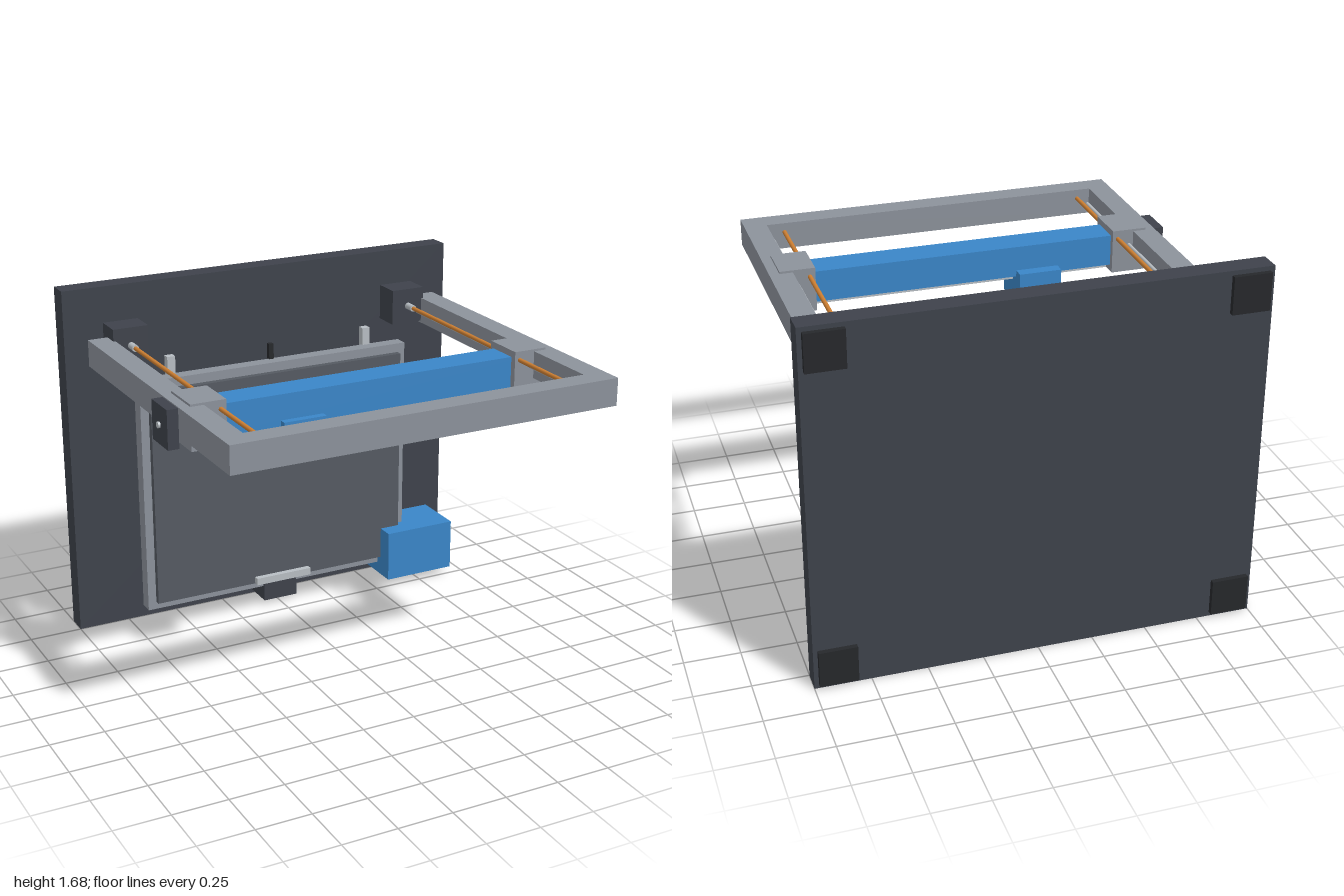
import * as THREE from 'three';

const mat = (color) => new THREE.MeshStandardMaterial({ color });

export function createModel() {
  const root = new THREE.Group();
  const dark = mat(0x3e424b), black = mat(0x26282b), grey = mat(0x8c929b), light = mat(0xb8bec3);
  const blue = mat(0x3a86c8), copper = mat(0xcd7f32), plate = mat(0x555a62), teal = mat(0x1f6b6b);

  // box given by its limits on each axis
  function box(name, m, [x0, x1], [y0, y1], [z0, z1]) {
    const mesh = new THREE.Mesh(new THREE.BoxGeometry(x1 - x0, y1 - y0, z1 - z0), m);
    mesh.position.set((x0 + x1) / 2, (y0 + y1) / 2, (z0 + z1) / 2);
    mesh.name = name;
    root.add(mesh);
  }
  // cylinder centred at a point, lying along the given axis
  function rod(name, m, r, len, axis, x, y, z) {
    const g = new THREE.CylinderGeometry(r, r, len, 24);
    if (axis === 'x') g.rotateZ(Math.PI / 2);
    if (axis === 'z') g.rotateX(Math.PI / 2);
    const mesh = new THREE.Mesh(g, m);
    mesh.position.set(x, y, z);
    mesh.name = name;
    root.add(mesh);
  }
  const span = (c, h) => [c - h, c + h];

  // upright base slab with four feet behind
  box('baseSlab', dark, [-1, 1], [0.005, 1.69], [-0.85, -0.75]);
  for (const s of [-1, 1])
    for (const y of [0.11, 1.585]) box('foot', black, span(s * 0.895, 0.085), span(y, 0.085), [-0.873, -0.85]);

  // U-shaped gantry frame
  const u = new THREE.Shape([
    [-0.905, -0.695], [-0.8, -0.695], [-0.8, 0.765], [0.8, 0.765],
    [0.8, -0.695], [0.905, -0.695], [0.905, 0.87], [-0.905, 0.87],
  ].map(([x, z]) => new THREE.Vector2(x, z)));
  const frame = new THREE.Mesh(new THREE.ExtrudeGeometry(u, { depth: 0.125, bevelEnabled: false }).rotateX(Math.PI / 2), grey);
  frame.position.y = 1.465;
  frame.name = 'gantryFrame';
  root.add(frame);

  // lifting motors, couplers, screws, guide rods and beam brackets
  for (const s of [-1, 1]) {
    box('liftMotor', dark, span(s * 0.725, 0.085), [1.35, 1.52], [-0.75, -0.62]);
    rod('coupler', light, 0.016, 0.06, 'z', s * 0.725, 1.435, -0.595);
    rod('leadScrew', copper, 0.01, 1.31, 'z', s * 0.725, 1.435, 0.075);
    rod('guideRod', light, 0.009, 1.36, 'z', s * 0.78, 1.4, 0.05);
    box('beamBracket', grey, span(s * 0.78, 0.08), [1.27, 1.475], [0.185, 0.385]);
  }

  // cross beam with rail and belt beneath
  box('crossBeam', blue, [-0.863, 0.863], [1.3, 1.445], [0.21, 0.355]);
  box('beamRail', light, [-0.7, 0.7], [1.27, 1.3], [0.255, 0.31]);
  box('beamBelt', black, [-0.745, 0.745], [1.25, 1.266], [0.328, 0.35]);
  box('beamMotor', dark, [-0.955, -0.905], [1.285, 1.46], [0.2, 0.365]);
  rod('beamMotorShaft', light, 0.014, 0.02, 'x', -0.955, 1.372, 0.28);

  // tool head
  const hx = -0.34;
  box('toolHead', blue, span(hx, 0.1), [1.163, 1.33], [0.157, 0.388]);
  box('feedMotor', dark, span(hx, 0.065), [1.113, 1.245], [0.087, 0.195]);
  rod('fan', black, 0.034, 0.055, 'y', hx, 1.138, 0.277);
  rod('heaterBarrel', copper, 0.015, 0.105, 'z', hx, 1.18, 0.028);
  rod('nozzle', copper, 0.007, 0.037, 'z', hx, 1.18, -0.055);

  // bed, build plate and clip
  box('bed', grey, [-0.7, 0.7], [0.1, 1.255], [-0.672, -0.605]);
  box('buildPlate', plate, [-0.66, 0.66], [0.14, 1.212], [-0.603, -0.573]);
  box('plateClip', light, [-0.147, 0.145], [0.14, 0.175], [-0.573, -0.545]);

  // bed rails, carriages, belt and motor
  for (const s of [-1, 1]) {
    box('bedRail', light, span(s * 0.515, 0.02), [0.1, 1.34], [-0.698, -0.662]);
    box('bedCarriage', blue, span(s * 0.515, 0.07), [0.585, 0.772], [-0.696, -0.668]);
  }
  box('bedBelt', black, span(0, 0.012), [0.1, 1.33], [-0.685, -0.66]);
  box('bedMotor', dark, [-0.088, 0.088], [0.026, 0.145], [-0.75, -0.592]);
  rod('bedMotorShaft', light, 0.015, 0.022, 'y', 0, 0.017, -0.672);

  // control box with screen and knob underneath
  box('controlBox', blue, [0.56, 0.925], [0.045, 0.297], [-0.75, -0.49]);
  box('screen', teal, [0.625, 0.865], [0.036, 0.045], [-0.7, -0.565]);
  rod('knob', copper, 0.016, 0.038, 'y', 0.872, 0.026, -0.702);

  return root;
}
